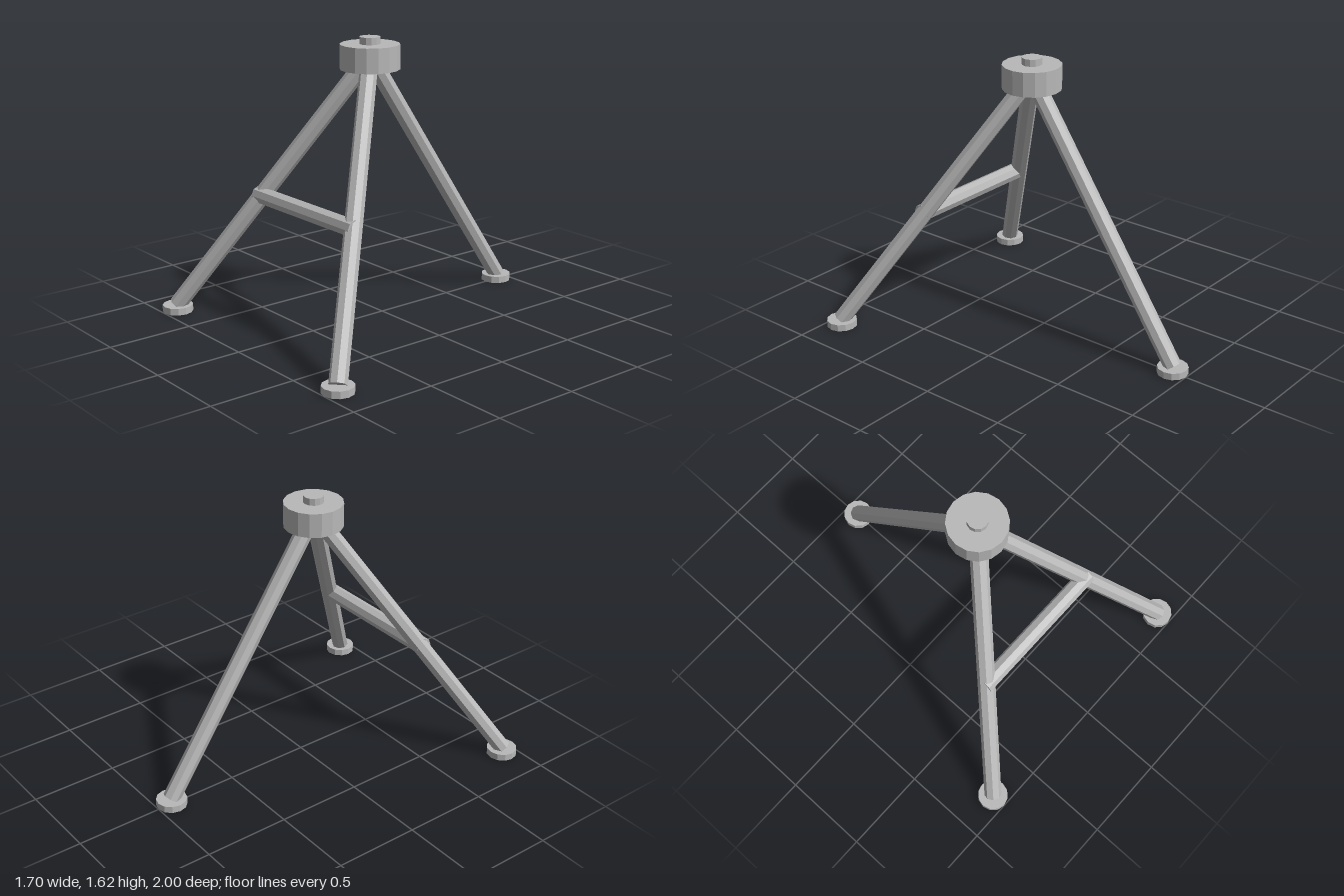
import * as THREE from 'three';

const gray = new THREE.MeshStandardMaterial({ color: 0xb8b8b8, flatShading: true });
gray.name = 'gray';

const APEX = new THREE.Vector3(0, 1.51, 0.087);

// Upright cylinder standing on height y
function disc(name, radius, height, sides, x, y, z) {
  const mesh = new THREE.Mesh(new THREE.CylinderGeometry(radius, radius, height, sides), gray);
  mesh.name = name;
  mesh.position.set(x, y + height / 2, z);
  return mesh;
}

// Octagonal rod between two points
function rod(name, from, to, radius = 0.05) {
  const axis = to.clone().sub(from);
  const mesh = new THREE.Mesh(new THREE.CylinderGeometry(radius, radius, axis.length(), 8), gray);
  mesh.name = name;
  mesh.position.copy(from).add(to).multiplyScalar(0.5);
  mesh.quaternion.setFromUnitVectors(new THREE.Vector3(0, 1, 0), axis.normalize());
  return mesh;
}

export function createModel() {
  const model = new THREE.Group();
  model.name = 'tripod';

  // Three splayed legs, each on a round foot
  const feet = [['leftFront', 0.762, 0.912], ['rightFront', -0.762, 0.912], ['back', 0, -0.912]];
  for (const [side, x, z] of feet) {
    model.add(rod(side + 'Leg', new THREE.Vector3(x, 0.04, z), APEX));
    model.add(disc(side + 'Foot', 0.088, 0.04, 12, x, 0, z));
  }

  // Brace joining the two front legs
  model.add(rod('crossbar', new THREE.Vector3(-0.442, 0.707, 0.545), new THREE.Vector3(0.442, 0.707, 0.545)));

  // Mounting head with its small cap
  model.add(disc('head', 0.168, 0.14, 16, 0, 1.44, APEX.z));
  model.add(disc('headCap', 0.058, 0.04, 12, 0, 1.58, APEX.z));

  return model;
}
